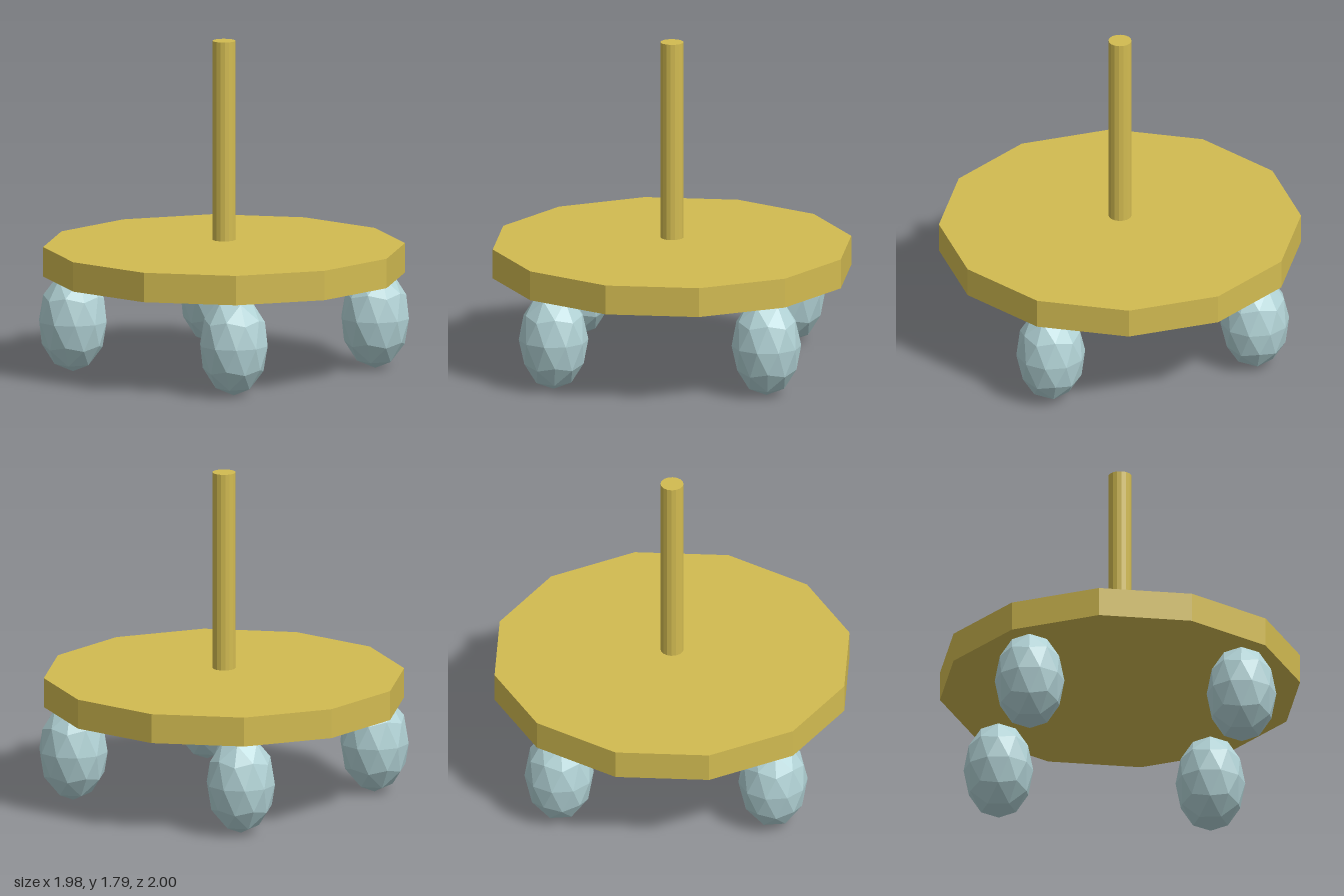
import * as THREE from 'three';

const gold = new THREE.MeshStandardMaterial({ name: 'gold', color: 0xd2bb51 });
const paleBlue = new THREE.MeshStandardMaterial({ name: 'paleBlue', color: 0xb2d3d6 });

// Split shared corners so every facet gets its own flat normal
function faceted(geometry) {
  const g = geometry.index ? geometry.toNonIndexed() : geometry;
  g.computeVertexNormals();
  return g;
}

function addPart(parent, name, geometry, material, x, y, z) {
  const mesh = new THREE.Mesh(geometry, material);
  mesh.name = name;
  mesh.position.set(x, y, z);
  parent.add(mesh);
}

export function createModel() {
  const model = new THREE.Group();
  model.name = 'pedestal';

  // Twelve-sided plate
  addPart(model, 'plate', faceted(new THREE.CylinderGeometry(0.972, 0.972, 0.16, 12)), gold, 0, 0.597, 0);

  // Slim post hovering just above the plate
  addPart(model, 'post', faceted(new THREE.CylinderGeometry(0.062, 0.062, 1.082, 16)), gold, 0, 1.248, 0);

  // Egg-shaped feet: an icosphere turned so one corner points up, then stretched
  const footGeometry = new THREE.IcosahedronGeometry(1, 1);
  footGeometry.rotateZ(-Math.atan(2 / (1 + Math.sqrt(5))));
  footGeometry.scale(0.187, 0.274, 0.187);
  const foot = faceted(footGeometry);
  const r = 0.812;
  addPart(model, 'leftFoot', foot, paleBlue, r, 0.274, 0);
  addPart(model, 'rightFoot', foot, paleBlue, -r, 0.274, 0);
  addPart(model, 'frontFoot', foot, paleBlue, 0, 0.274, r);
  addPart(model, 'backFoot', foot, paleBlue, 0, 0.274, -r);

  return model;
}
